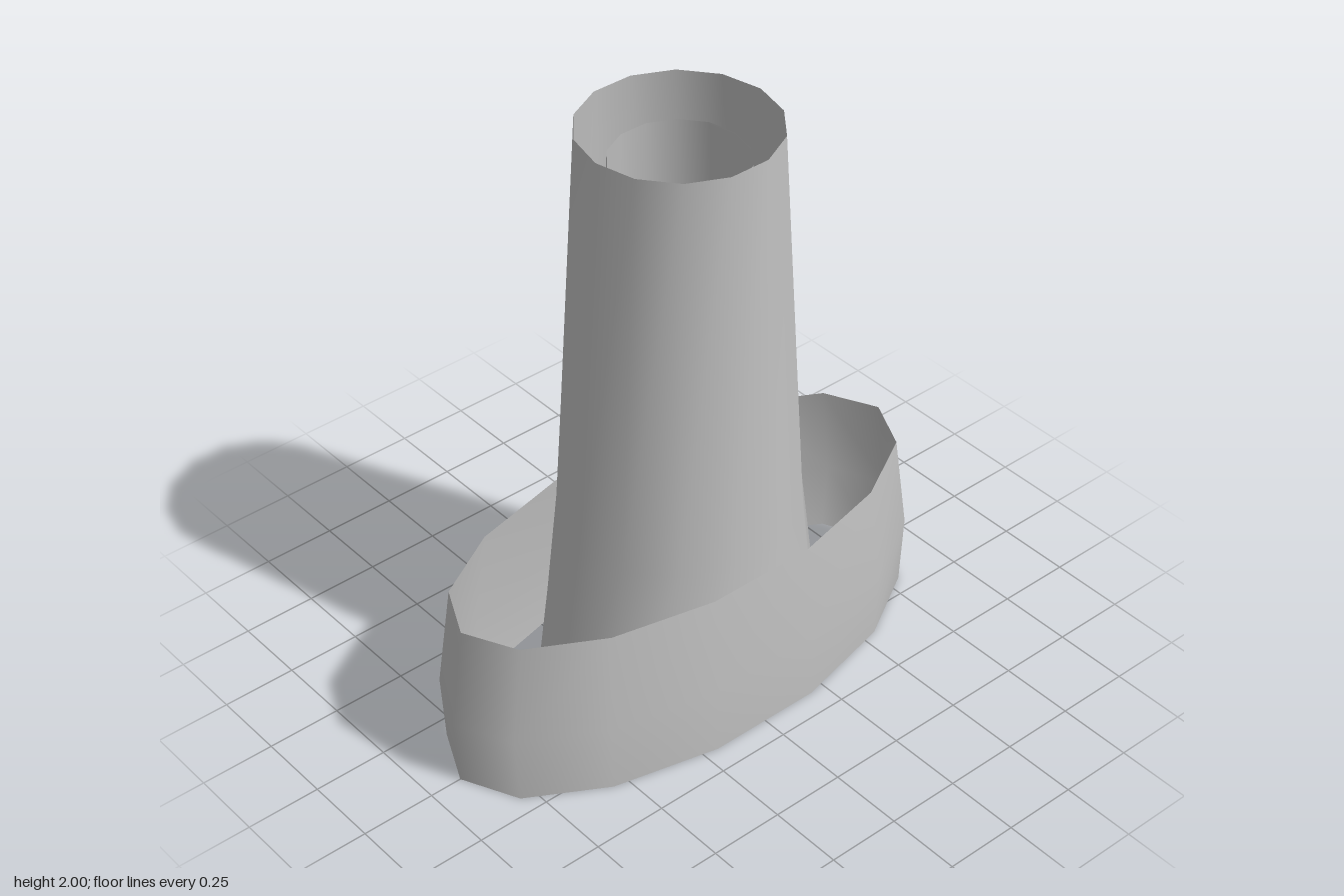
import * as THREE from 'three';

const SIDES = 14;

// Unit 14-gon used by the tubes
const circle = Array.from({ length: SIDES }, (_, i) => {
  const a = (i / SIDES) * Math.PI * 2;
  return [Math.cos(a), Math.sin(a)];
});

// Pointed oval used by the band: one quarter mirrored around both axes
const q = [[0.905, 0], [0.815, 0.187], [0.56, 0.333], [0.2, 0.415]];
const half = [...q, ...q.slice(1).reverse().map(([x, z]) => [-x, z]), [-0.905, 0]];
const oval = [...half, ...half.slice(1, -1).reverse().map(([x, z]) => [x, -z])];

// Open smooth wall through rings [y, scaleX, scaleZ], bottom to top
function loft(outline, rings) {
  const pos = [], index = [], n = outline.length;
  for (const [y, sx, sz] of rings) {
    for (const [x, z] of outline) pos.push(x * sx, y, z * sz);
  }
  for (let r = 0; r < rings.length - 1; r++) {
    for (let i = 0; i < n; i++) {
      const a = r * n + i, b = r * n + ((i + 1) % n);
      index.push(a, a + n, b, b, a + n, b + n);
    }
  }
  const g = new THREE.BufferGeometry();
  g.setAttribute('position', new THREE.Float32BufferAttribute(pos, 3));
  g.setIndex(index);
  g.computeVertexNormals();
  return g;
}

export function createModel() {
  const group = new THREE.Group();
  const grey = new THREE.MeshStandardMaterial({ color: 0xc0c0c0, side: THREE.DoubleSide });
  grey.name = 'light grey';

  const add = (name, outline, rings) => {
    const mesh = new THREE.Mesh(loft(outline, rings), grey);
    mesh.name = name;
    group.add(mesh);
  };

  // Wide oval band around the foot
  add('baseBand', oval, [[0, 0.983, 1], [0.24, 1, 1], [0.58, 0.945, 0.927]]);
  // Tall tapering tube with a flared foot
  add('outerTube', circle, [[0.01, 0.495, 0.415], [0.65, 0.405, 0.374], [2, 0.308, 0.308]]);
  // Narrower tube inside, ending just under the rim
  add('innerTube', circle, [[0.02, 0.43, 0.365], [0.14, 0.31, 0.31], [1.89, 0.213, 0.213]]);

  return group;
}
